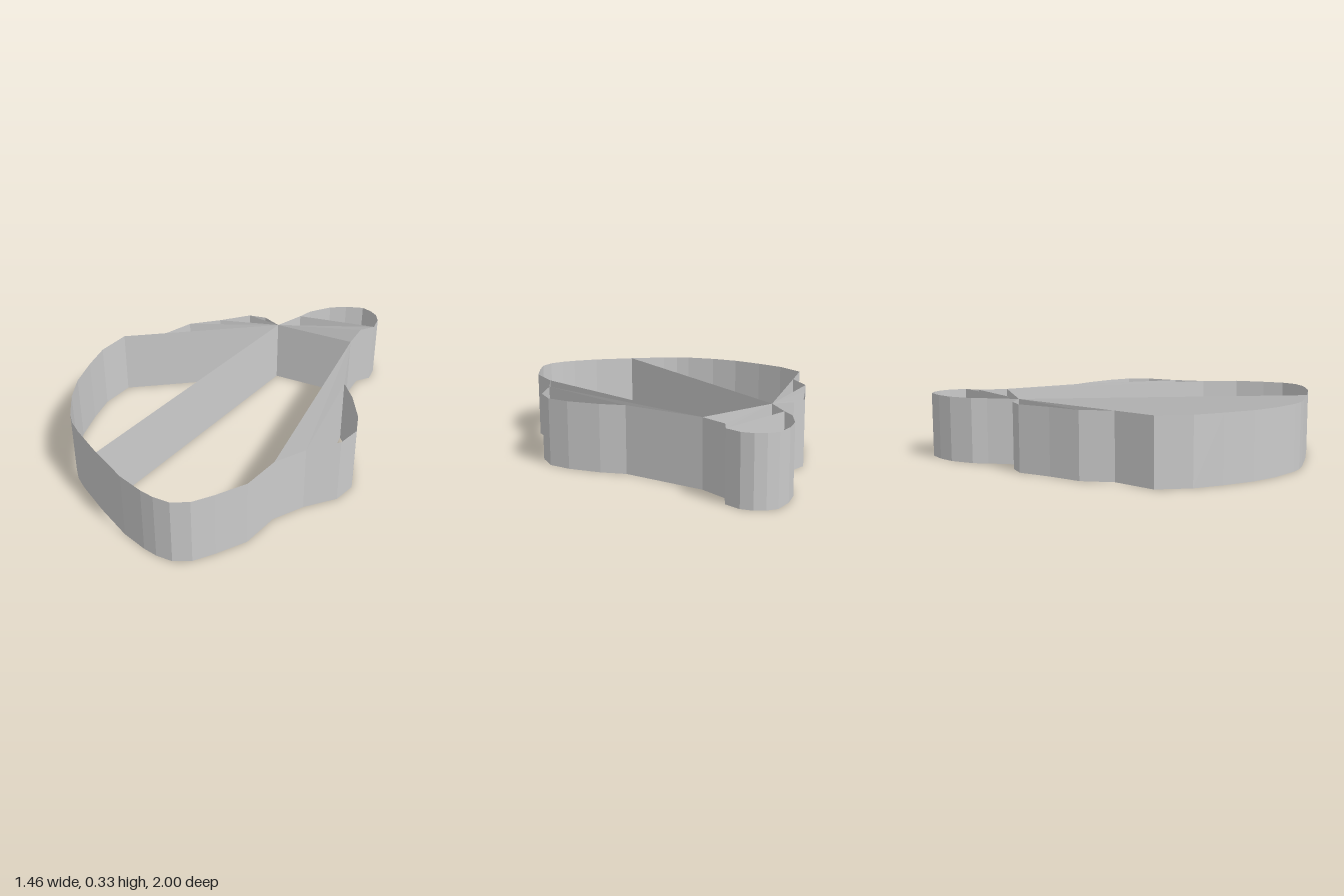
import * as THREE from 'three';
import { mergeGeometries } from 'three/addons/utils/BufferGeometryUtils.js';

const HEIGHT = 0.33;

// Named corners of the plan, as [x, z]
const hub = [-0.05, -0.58];
const notch = [0.374, -0.605];
const earBack = [0.515, -0.205];
const earFront = [0.593, 0.388];
const shoulder = [0.51, 0.535];
const dent = [-0.212, 0.867];
const neckBack = [0.011, -0.733];
const neckFront = [0.368, -0.755];
const lobeSide = [0.418, -0.822];

// Stretches of the outline, in order around the plan
const lobe = [neckFront, lobeSide, [0.407, -0.905], [0.375, -0.955], [0.33, -0.985], [0.277, -1],
  [0.188, -0.965], [0.113, -0.912], [0.035, -0.81], neckBack];
const backEdge = [[-0.15, -0.62], [-0.24, -0.6], [-0.356, -0.469], [-0.48, -0.35], [-0.537, -0.195]];
const leftBow = [[-0.714, -0.055], [-0.73, 0.12], [-0.7, 0.27], [-0.655, 0.43], [-0.59, 0.56],
  [-0.5, 0.685], [-0.45, 0.735], [-0.383, 0.778]];
const frontBow = [[-0.018, 0.955], [0.11, 0.99], [0.18, 1], [0.26, 0.995], [0.335, 0.95], [0.4, 0.86], [0.482, 0.725]];
const ear = [earFront, [0.705, 0.255], [0.73, 0.14], [0.69, 0.03], [0.6, -0.11], earBack];

const outline = [hub, ...backEdge, ...leftBow, dent, ...frontBow, shoulder, ...ear, notch, ...lobe];

// One thin upright panel between two plan points
function panel([x1, z1], [x2, z2]) {
  const g = new THREE.PlaneGeometry(Math.hypot(x2 - x1, z2 - z1), HEIGHT);
  g.rotateY(-Math.atan2(z2 - z1, x2 - x1));
  g.translate((x1 + x2) / 2, HEIGHT / 2, (z1 + z2) / 2);
  return g;
}

export function createModel() {
  const group = new THREE.Group();
  const material = new THREE.MeshStandardMaterial({ color: 0xcccccc, flatShading: true, side: THREE.DoubleSide });

  function addWalls(name, pairs) {
    const mesh = new THREE.Mesh(mergeGeometries(pairs.map(([a, b]) => panel(a, b))), material);
    mesh.name = name;
    group.add(mesh);
  }

  // Closed band around the whole shape
  addWalls('outerWall', outline.map((p, i) => [p, outline[(i + 1) % outline.length]]));

  // Long divider across the middle
  addWalls('centreDivider', [[hub, dent]]);

  // Fan of partitions from the hub to the back edge
  addWalls('backPartitions', backEdge.slice(1).map((p) => [hub, p]));

  // Partitions across the neck of the small lobe
  addWalls('neckPartitions', [[hub, notch], [hub, neckFront], [hub, lobeSide], [neckBack, lobeSide]]);

  // Partitions closing off the side ear
  addWalls('earPartitions', [[notch, shoulder], [notch, earFront], [earBack, earFront]]);

  return group;
}
